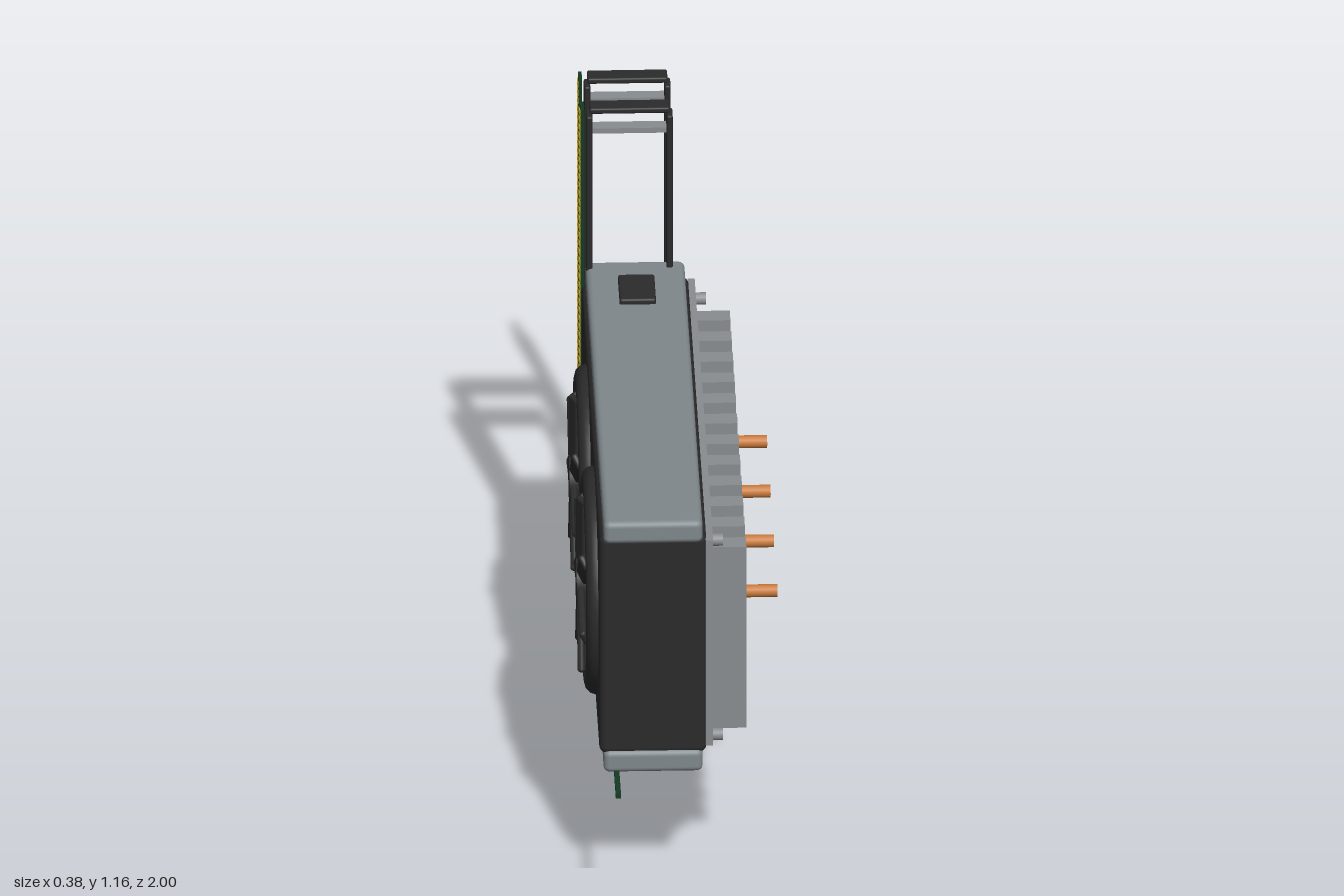
import * as THREE from 'three';
import { mergeGeometries } from 'three/addons/utils/BufferGeometryUtils.js';
import { RoundedBoxGeometry } from 'three/addons/geometries/RoundedBoxGeometry.js';

const mat = (name, color) => {
  const m = new THREE.MeshStandardMaterial({ color });
  m.name = name;
  return m;
};

export function createModel() {
  const root = new THREE.Group();
  root.name = 'graphicsCard';
  const black = mat('black plastic', 0x2b2b2b);
  const grey = mat('grey shell', 0x80888c);
  const silver = mat('fin metal', 0x898d90);
  const copper = mat('copper', 0xc87a3c);
  const green = mat('board green', 0x143a22);
  const gold = mat('contact gold', 0xc9a227);
  const blue = mat('port blue', 0x1c4f99);

  const add = (name, geo, material, parent = root) => {
    const m = new THREE.Mesh(geo, material);
    m.name = name;
    parent.add(m);
    return m;
  };
  // Boxes are given by their limits on each axis
  const boxGeo = (x0, x1, y0, y1, z0, z1, r = 0) => {
    const s = [x1 - x0, y1 - y0, z1 - z0];
    const g = r ? new RoundedBoxGeometry(...s, 3, r) : new THREE.BoxGeometry(...s);
    return g.translate((x0 + x1) / 2, (y0 + y1) / 2, (z0 + z1) / 2);
  };
  const box = (name, material, limits, r = 0, parent = root) =>
    add(name, boxGeo(...limits, r), material, parent);
  // Cylinder lying along x
  const rod = (x0, x1, y, z, r, sides = 20) =>
    new THREE.CylinderGeometry(r, r, x1 - x0, sides).rotateZ(Math.PI / 2).translate((x0 + x1) / 2, y, z);

  // Main shroud with its top and bottom covers
  box('shroud', black, [-0.158, 0.048, 0.312, 0.785, -0.18, 0.9], 0.015);
  box('topCover', grey, [-0.15, 0.04, 0.77, 0.817, -0.18, 0.905], 0.012);
  box('bottomCover', grey, [-0.15, 0.04, 0.275, 0.322, -0.18, 0.905], 0.012);
  box('powerSocket', black, [-0.09, -0.02, 0.81, 0.828, -0.103, 0.003], 0.005);

  // Back plate, screws, cooling fins and heat pipes
  box('backPlate', silver, [0.046, 0.06, 0.33, 0.775, -0.18, 0.9]);
  for (const z of [-0.13, 0.865])
    for (const y of [0.337, 0.758]) add('screw', rod(0.055, 0.08, y, z, 0.012), silver);
  for (let i = 0; i < 12; i++) {
    const z = -0.089 + i * 0.085;
    box('coolingFin', silver, [0.05, 0.125, 0.35, 0.742, z - 0.02, z + 0.02]);
  }
  for (let i = 0; i < 4; i++) add('heatPipe', rod(0.05, 0.191, 0.547, 0.062 + i * 0.205, 0.0125), copper);

  // Two fans on the shroud
  for (const z of [0.203, 0.622]) {
    const fan = new THREE.Group();
    fan.name = 'fan';
    fan.position.set(-0.158, 0.547, z);
    root.add(fan);
    add('fanRing', new THREE.TorusGeometry(0.197, 0.023, 12, 48).rotateY(Math.PI / 2), black, fan);
    add('fanHub', rod(-0.036, 0, 0, 0, 0.045, 32), black, fan);
    for (let i = 0; i < 7; i++) {
      const blade = new RoundedBoxGeometry(0.014, 0.14, 0.034, 2, 0.006);
      blade.rotateY(0.45).translate(-0.024, 0.107, 0).rotateX((i * Math.PI * 2) / 7);
      add('fanBlade', blade, black, fan);
    }
  }

  // Two upright slot frames, each with a contact board
  for (const z of [-0.166, -0.29]) {
    const frame = new THREE.Group();
    frame.name = 'slotFrame';
    frame.position.z = z;
    root.add(frame);
    const h = 0.019;
    box('outerPost', black, [-0.149, -0.137, 0.385, 1.145, -h, h], 0.004, frame);
    box('innerPost', black, [0.005, 0.017, 0.506, 1.145, -h, h], 0.004, frame);
    box('latch', black, [0.004, 0.016, 0.385, 0.5, -h, h], 0.004, frame);
    box('topBar', black, [-0.143, 0.011, 1.151, 1.163, -h, h], 0.004, frame);
    box('crossBar', silver, [-0.137, 0.005, 1.107, 1.118, -0.014, 0.014], 0, frame);
    box('contactBoard', green, [-0.16, -0.153, 0.36, 1.16, -h, h], 0, frame);
    const pins = [];
    for (let i = 0; i < 44; i++) {
      const y = 0.372 + i * 0.018;
      pins.push(boxGeo(-0.162, -0.159, y - 0.004, y + 0.004, -0.013, 0.013));
    }
    add('boardContacts', mergeGeometries(pins), gold, frame);
  }

  // Long circuit board edge with contacts underneath
  box('circuitBoard', green, [-0.13, -0.12, 0.271, 0.281, -0.91, 1]);
  const edge = [];
  for (let i = 0; i < 50; i++) {
    const z = -0.315 + i * 0.0204;
    edge.push(boxGeo(-0.129, -0.121, 0.266, 0.272, z - 0.006, z + 0.006));
  }
  add('edgeContacts', mergeGeometries(edge), gold);
  for (const z of [-0.323, -0.58])
    box('boardClip', black, [-0.111, -0.09, 0.285, 0.298, z - 0.049, z + 0.049], 0.004);

  // Mounting bracket with display ports
  box('bracket', silver, [-0.135, -0.112, 0.005, 0.545, -0.972, -0.943], 0.004);
  box('bracketFoot', silver, [-0.141, -0.112, 0, 0.06, -1, -0.965], 0.004);
  box('bracketTip', silver, [-0.135, -0.122, 0.548, 0.62, -0.982, -0.968], 0.003);
  for (const y of [0.258, 0.394, 0.523])
    box('displayPort', blue, [-0.14, -0.117, y - 0.029, y + 0.029, -0.983, -0.966]);

  return root;
}
